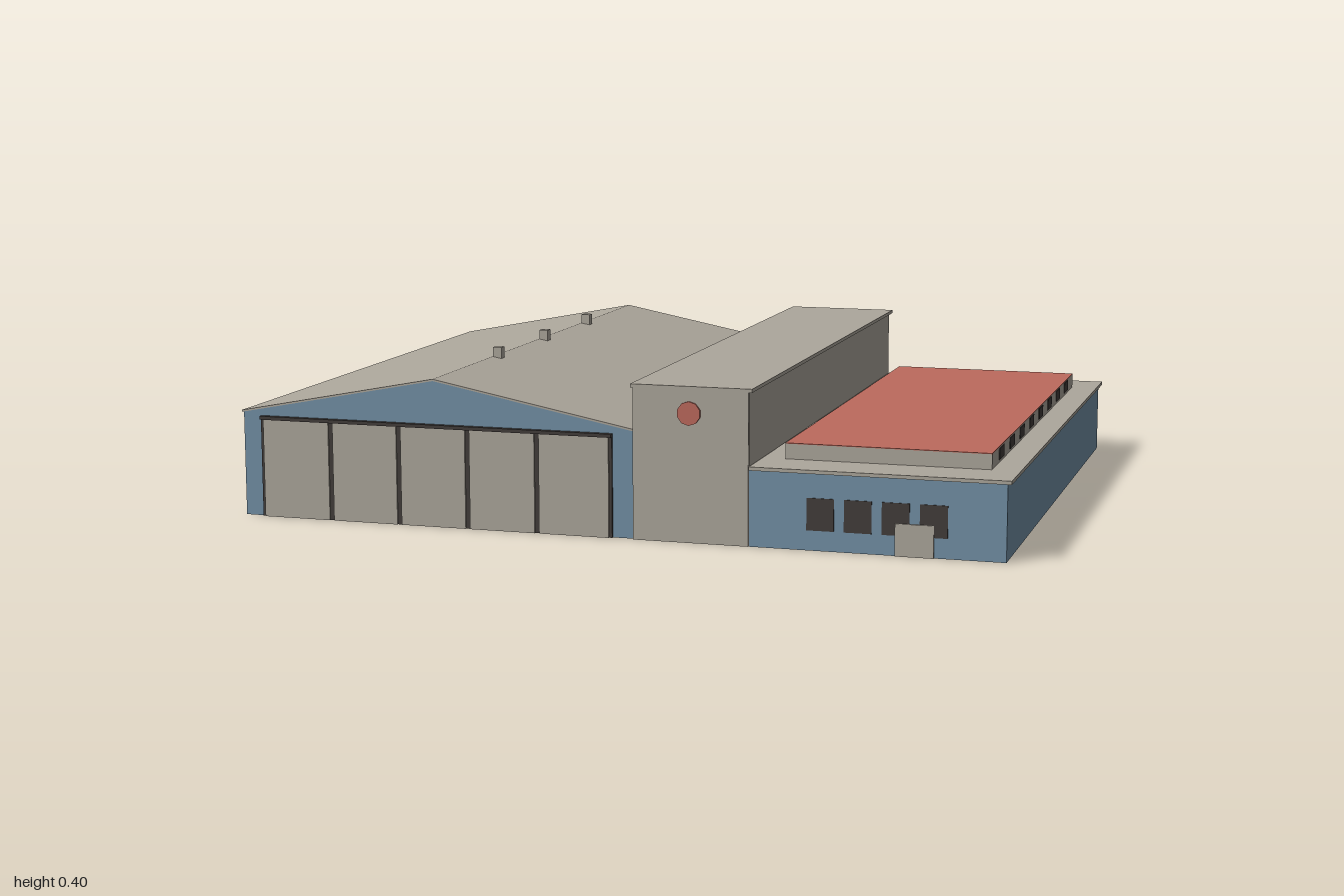
import * as THREE from 'three';

export function createModel() {
  const root = new THREE.Group();
  root.name = 'hangarBuilding';

  const mat = (name, color) => {
    const m = new THREE.MeshStandardMaterial({ color, side: THREE.DoubleSide });
    m.name = name;
    return m;
  };
  const blue = mat('blueWall', 0x7390a6);
  const beige = mat('beigeConcrete', 0xada79c);
  const red = mat('redRoof', 0xbd6a5d);
  const dark = mat('darkGlass', 0x423d3b);

  const add = (name, geo, material, parent = root) => {
    const m = new THREE.Mesh(geo, material);
    m.name = name;
    parent.add(m);
    return m;
  };
  // box given by its minimum and maximum on each axis
  const box = (name, material, x0, x1, y0, y1, z0, z1, parent) => {
    const g = new THREE.BoxGeometry(x1 - x0, y1 - y0, z1 - z0);
    g.translate((x0 + x1) / 2, (y0 + y1) / 2, (z0 + z1) / 2);
    return add(name, g, material, parent);
  };
  const group = (name) => {
    const g = new THREE.Group();
    g.name = name;
    root.add(g);
    return g;
  };
  // thin walls; the building is an open shell underneath
  const wallX = (name, material, x, y0, y1, z0, z1, parent) => {
    const g = new THREE.PlaneGeometry(z1 - z0, y1 - y0).rotateY(x < 0.1 ? -Math.PI / 2 : Math.PI / 2);
    g.translate(x, (y0 + y1) / 2, (z0 + z1) / 2);
    return add(name, g, material, parent);
  };
  const wallZ = (name, material, z, x0, x1, y0, y1, parent) => {
    const g = new THREE.PlaneGeometry(x1 - x0, y1 - y0);
    if (z < 0) g.rotateY(Math.PI);
    g.translate((x0 + x1) / 2, (y0 + y1) / 2, z);
    return add(name, g, material, parent);
  };

  // Hangar: gabled shell with a wide front opening
  const hangar = group('hangar');
  const ridge = -0.47, eave = 0.27, peak = 0.372;
  const gable = () => new THREE.Shape([
    [-0.995, 0], [0.06, 0], [0.06, eave], [ridge, peak], [-0.995, eave],
  ].map(([x, y]) => new THREE.Vector2(x, y)));
  add('frontGable', new THREE.ShapeGeometry(gable()), blue, hangar).position.z = 0.788;
  const back = new THREE.ShapeGeometry(gable());
  back.setIndex(Array.from(back.index.array).reverse());
  back.attributes.normal.array.forEach((v, i, a) => { a[i] = -v; });
  add('backGable', back, blue, hangar).position.z = -0.798;
  wallX('outerWall', blue, -0.995, 0, eave, -0.798, 0.788, hangar);
  wallX('innerWall', blue, 0.06, 0, eave, -0.798, 0.788, hangar);
  const roofShape = new THREE.Shape([
    [-1, eave - 0.001], [ridge, peak], [0.06, eave], [0.06, eave + 0.005], [ridge, peak + 0.005], [-1, eave + 0.004],
  ].map(([x, y]) => new THREE.Vector2(x, y)));
  const roof = new THREE.ExtrudeGeometry(roofShape, { depth: 1.59, bevelEnabled: false });
  add('hangarRoof', roof, beige, hangar).position.z = -0.8;
  for (const z of [-0.36, 0, 0.36]) {
    box('roofVent', beige, -0.469, -0.445, 0.36, 0.402, z - 0.012, z + 0.012, hangar);
  }

  // Sliding doors: dark frame with five panels
  const doors = group('hangarDoors');
  box('doorFrame', dark, -0.945, 0.005, 0, 0.262, 0.786, 0.794, doors);
  box('doorTopRail', dark, -0.945, 0.005, 0.253, 0.262, 0.79, 0.802, doors);
  const edges = [-0.943, -0.75, -0.563, -0.377, -0.192, 0.003];
  for (let i = 0; i < 5; i++) {
    box('doorPanel', beige, edges[i] + 0.006, edges[i + 1] - 0.006, 0, 0.253, 0.792, 0.798, doors);
  }

  // Tower block between the hangar and the annex
  const tower = group('tower');
  wallZ('towerFront', beige, 0.797, 0.06, 0.355, 0, 0.382, tower);
  wallZ('towerBack', beige, -0.8, 0.06, 0.355, 0, 0.382, tower);
  wallX('towerHangarSide', beige, 0.06, eave, 0.382, -0.8, 0.797, tower);
  wallX('towerAnnexSide', beige, 0.355, 0, 0.382, -0.8, 0.797, tower);
  box('towerCornerStrip', beige, 0.338, 0.357, 0, 0.382, 0.79, 0.793, tower);
  box('towerCap', beige, 0.055, 0.365, 0.381, 0.39, -0.805, 0.8, tower);
  const disc = new THREE.CylinderGeometry(0.03, 0.03, 0.006, 10).rotateX(Math.PI / 2);
  add('towerDisc', disc, red, tower).position.set(0.205, 0.323, 0.8);

  // Annex: low block with a flat overhanging roof
  const annex = group('annex');
  wallZ('annexFront', blue, 0.795, 0.357, 0.99, 0, 0.192, annex);
  wallZ('annexBack', blue, -0.798, 0.357, 0.99, 0, 0.192, annex);
  wallX('annexSide', blue, 0.99, 0, 0.192, -0.798, 0.795, annex);
  box('annexRoof', beige, 0.357, 1, 0.19, 0.199, -0.803, 0.8, annex);
  for (let i = 0; i < 4; i++) {
    const x = 0.535 + i * 0.093;
    box('frontWindow', dark, x - 0.034, x + 0.034, 0.05, 0.13, 0.794, 0.797, annex);
  }
  box('frontDoor', beige, 0.72, 0.815, 0, 0.08, 0.794, 0.8, annex);

  // Raised skylight with a red top and rows of side windows
  const skylight = group('skylight');
  box('skylightBase', beige, 0.415, 0.93, 0.198, 0.237, -0.675, 0.67, skylight);
  box('skylightTop', red, 0.415, 0.93, 0.237, 0.239, -0.675, 0.67, skylight);
  for (const x of [0.415, 0.93]) {
    for (let i = 0; i < 8; i++) {
      const z = -0.541 + i * 0.1545;
      box('skylightWindow', dark, x - 0.002, x + 0.002, 0.206, 0.235, z - 0.033, z + 0.033, skylight);
    }
  }

  // Back facade: two window rows, two doors and a plain panel
  const facade = group('backFacade');
  for (let i = 0; i < 13; i++) {
    const x = 0.866 - i * 0.1437;
    box('upperWindow', dark, x - 0.046, x + 0.046, 0.115, 0.165, -0.803, -0.797, facade);
  }
  for (let i = 0; i < 16; i++) {
    const x = 0.87 - i * 0.1153;
    if (i === 1 || i === 11) {
      box('backDoor', beige, x - 0.035, x + 0.012, 0, 0.07, -0.804, -0.797, facade);
      box('backDoorGlass', dark, x + 0.012, x + 0.03, 0, 0.07, -0.804, -0.797, facade);
    } else {
      box('lowerWindow', dark, x - 0.03, x + 0.03, 0.035, 0.08, -0.803, -0.797, facade);
    }
  }
  box('backPanel', beige, -0.165, 0.025, 0.2, 0.222, -0.804, -0.797, facade);

  return root;
}
